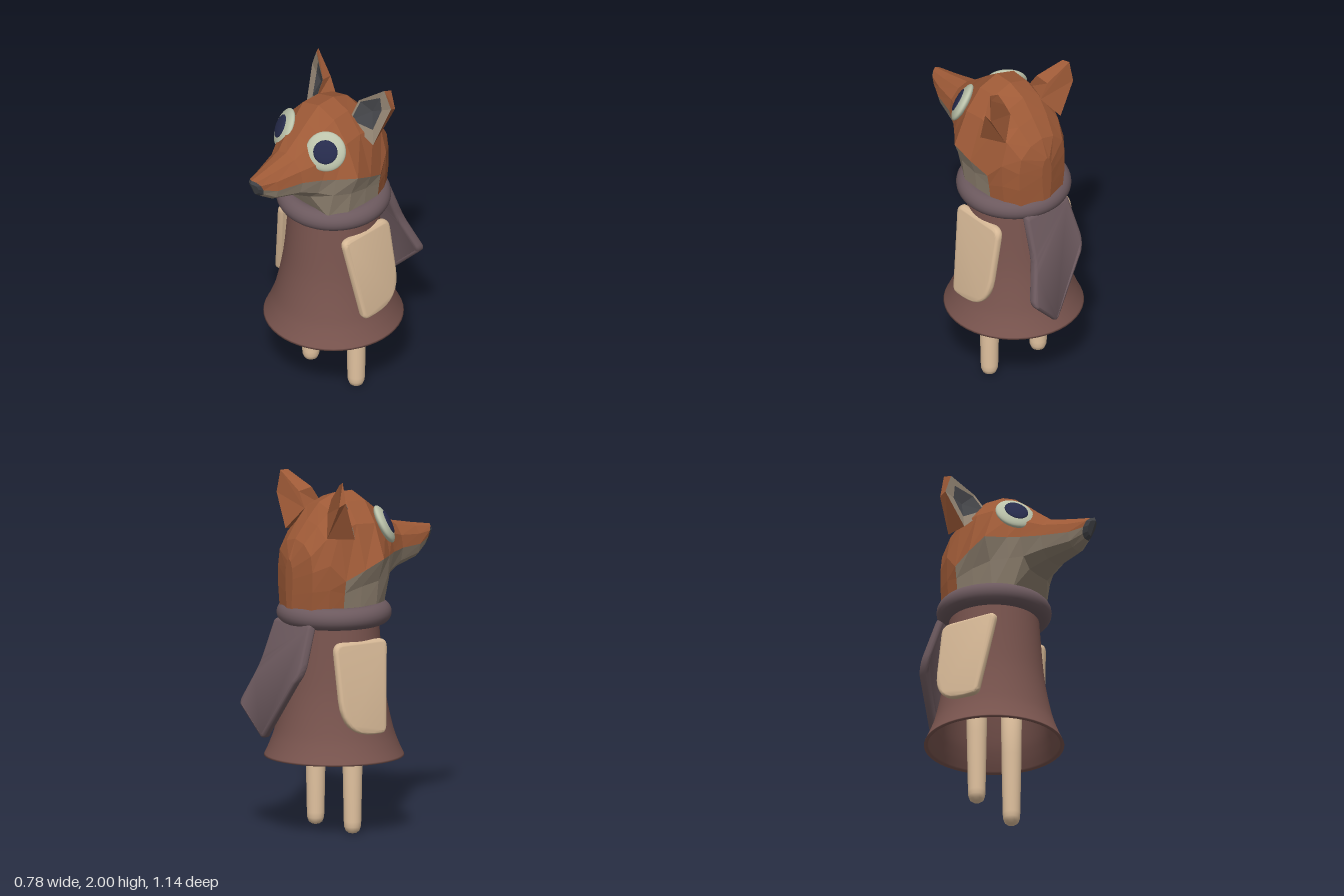
import * as THREE from 'three';
import { toCreasedNormals } from 'three/addons/utils/BufferGeometryUtils.js';

const COLORS = {
  fur: 0x9e5a37, muzzle: 0x8f8170, dark: 0x434448, eye: 0xbcc3ab, pupil: 0x262b4c,
  coat: 0x7a554f, scarf: 0x6c595e, arm: 0xd6b896, leg: 0xe2c3a0,
};
const V = (x, y, z) => new THREE.Vector3(x, y, z);
const AXIS_Z = -0.085; // centre line of the body

function mesh(name, geometry, color, flatShading = false, side = THREE.FrontSide) {
  const m = new THREE.Mesh(geometry, new THREE.MeshStandardMaterial({ color, flatShading, side }));
  m.name = name;
  return m;
}

// Flat-shaded mesh from a list of triangle corners
function facets(name, corners, color) {
  const g = new THREE.BufferGeometry().setFromPoints(corners);
  g.computeVertexNormals();
  return mesh(name, g, color, true);
}

// Soft-edged slab from a polygon of [x, y, corner radius]
function slab(points, depth, bevel) {
  const shape = new THREE.Shape();
  points.forEach(([x, y, r], i) => {
    const p = new THREE.Vector2(x, y);
    const toward = (q) => p.clone().add(new THREE.Vector2(q[0], q[1]).sub(p).setLength(r));
    const a = toward(points.at(i - 1)), b = toward(points[(i + 1) % points.length]);
    if (i) shape.lineTo(a.x, a.y); else shape.moveTo(a.x, a.y);
    shape.quadraticCurveTo(x, y, b.x, b.y);
  });
  shape.closePath();
  const g = new THREE.ExtrudeGeometry(shape, {
    depth, bevelSize: bevel, bevelThickness: bevel, bevelOffset: -bevel, bevelSegments: 4, curveSegments: 8,
  });
  return g.translate(0, 0, -depth / 2);
}

// Shift every vertex by a rule, then refresh the normals
function bend(g, rule) {
  const p = g.attributes.position, v = V(0, 0, 0);
  for (let i = 0; i < p.count; i++) {
    rule(v.fromBufferAttribute(p, i));
    p.setXYZ(i, v.x, v.y, v.z);
  }
  g.computeVertexNormals();
  return toCreasedNormals(g, 0.7);
}

// Head cross-sections from back to nose: z, top y, then brow, cheek, jaw and base [x, y]
const SECTIONS = [
  [-0.383, 1.55, 0.03, 1.50, 0.035, 1.44, 0.03, 1.35, 0.02, 1.25],
  [-0.34, 1.66, 0.15, 1.58, 0.165, 1.49, 0.165, 1.38, 0.15, 1.25],
  [-0.26, 1.76, 0.185, 1.67, 0.225, 1.53, 0.22, 1.39, 0.205, 1.25],
  [-0.18, 1.85, 0.205, 1.72, 0.262, 1.44, 0.25, 1.37, 0.235, 1.25],
  [-0.07, 1.895, 0.21, 1.745, 0.292, 1.495, 0.258, 1.40, 0.24, 1.25],
  [0.045, 1.895, 0.22, 1.74, 0.308, 1.55, 0.255, 1.42, 0.23, 1.25],
  [0.14, 1.825, 0.185, 1.69, 0.23, 1.55, 0.21, 1.43, 0.17, 1.26],
  [0.20, 1.775, 0.165, 1.66, 0.185, 1.555, 0.15, 1.45, 0.09, 1.395],
  [0.30, 1.70, 0.115, 1.63, 0.13, 1.56, 0.11, 1.485, 0.06, 1.445],
  [0.45, 1.67, 0.075, 1.615, 0.085, 1.56, 0.07, 1.51, 0.04, 1.485],
  [0.553, 1.65, 0.045, 1.62, 0.05, 1.585, 0.04, 1.55, 0.02, 1.53],
  [0.568, 1.63, 0.03, 1.62, 0.035, 1.595, 0.025, 1.565, 0.012, 1.55],
];

function buildSkull() {
  const last = SECTIONS.length - 1;
  const rings = SECTIONS.map(([z, top, bx, by, cx, cy, dx, dy, ex, ey], i) => {
    const half = [[0, top], [bx * 0.55, top + (by - top) * 0.25], [bx, by], [cx, cy], [dx, dy], [ex, ey], [0, ey - 0.005]];
    const other = half.slice(1, -1).reverse().map(([x, y]) => [-x, y]);
    // The nose pad slopes back towards the mouth and sides
    const lean = (x, y) => (i >= last - 1 ? 0.4 * (y - 1.6) - 0.4 * Math.abs(x) : 0);
    return [...half, ...other].map(([x, y]) => V(x, y, z + lean(x, y)));
  });
  const n = rings[0].length;
  const fur = [], muzzle = [], nose = [];
  for (let i = 0; i < last; i++) {
    for (let j = 0; j < n; j++) {
      const k = (j + 1) % n;
      const a = rings[i][j], b = rings[i][k], c = rings[i + 1][k], d = rings[i + 1][j];
      const lower = i >= 3 && j >= 3 && j < n - 3;
      (i === last - 1 ? nose : lower ? muzzle : fur).push(a, d, c, a, c, b);
    }
  }
  // Close the back of the skull and the nose tip
  for (let j = 1; j < n - 1; j++) {
    fur.push(rings[0][0], rings[0][j], rings[0][j + 1]);
    nose.push(rings[last][0], rings[last][j + 1], rings[last][j]);
  }
  return [
    facets('headFur', fur, COLORS.fur),
    facets('muzzleAndThroat', muzzle, COLORS.muzzle),
    facets('nose', nose, COLORS.dark),
  ];
}

// Cupped ear: pale outer rim, dark hollow on the inner side, furry back
function buildEar(s) {
  const rim = [
    V(0.13, 1.80, -0.06), V(0.14, 1.91, -0.13), V(0.265, 2.0, -0.205),
    V(0.308, 1.89, -0.215), V(0.262, 1.67, -0.12),
  ];
  const rimWidth = [0.1, 0.12, 0.35, 0.5, 0.45];
  const centre = rim.reduce((sum, p) => sum.add(p), V(0, 0, 0)).divideScalar(rim.length);
  const hollow = centre.clone().add(V(-0.02, -0.01, -0.03));
  const inner = rim.map((p, i) => p.clone().lerp(hollow, rimWidth[i]));
  // Outer shell leans back from the rim
  const back = [
    V(0.11, 1.80, -0.20), V(0.155, 1.89, -0.205), V(0.285, 1.995, -0.24),
    V(0.30, 1.87, -0.255), V(0.20, 1.68, -0.265),
  ];
  const parts = { edge: [], well: [], shell: [] };
  const tri = (list, a, b, c) =>
    list.push(...(s > 0 ? [a, c, b] : [a, b, c]).map((p) => V(p.x * s, p.y, p.z)));
  for (let i = 0; i < 5; i++) {
    const k = (i + 1) % 5;
    tri(parts.edge, rim[i], rim[k], inner[k]);
    tri(parts.edge, rim[i], inner[k], inner[i]);
    tri(parts.well, inner[i], inner[k], hollow);
    tri(parts.shell, rim[i], back[k], rim[k]);
    tri(parts.shell, rim[i], back[i], back[k]);
    if (i > 0 && i < 4) tri(parts.shell, back[0], back[k], back[i]);
  }
  const ear = new THREE.Group();
  ear.name = s > 0 ? 'leftEar' : 'rightEar';
  ear.add(facets('earRim', parts.edge, COLORS.muzzle), facets('earHollow', parts.well, COLORS.dark),
    facets('earBack', parts.shell, COLORS.fur));
  return ear;
}

// Flattened eyeball with a nearly flush pupil, facing outward and up
function buildEye(s) {
  const eye = new THREE.Group();
  eye.name = s > 0 ? 'leftEye' : 'rightEye';
  const white = mesh('eyeWhite', new THREE.SphereGeometry(1, 28, 18).scale(0.113, 0.113, 0.034), COLORS.eye);
  const pupil = mesh('pupil', new THREE.SphereGeometry(1, 24, 14).scale(0.068, 0.068, 0.013), COLORS.pupil);
  pupil.position.z = 0.027;
  eye.add(white, pupil);
  eye.position.set(0.161 * s, 1.715, 0.15);
  eye.lookAt(eye.position.clone().add(V(0.56 * s, 0.45, 0.7)));
  return eye;
}

export function createModel() {
  const model = new THREE.Group();
  model.name = 'foxFigure';

  const head = new THREE.Group();
  head.name = 'head';
  head.position.x = 0.012;
  head.add(...buildSkull());
  for (const s of [1, -1]) head.add(buildEar(s), buildEye(s));
  model.add(head);

  // Hollow flared coat: inner wall down, round the hem, outer wall up
  const wall = [[0.39, 0.42], [0.358, 0.49], [0.327, 0.58], [0.292, 0.74], [0.271, 0.9], [0.248, 1.2]];
  const outer = new THREE.SplineCurve(wall.map(([x, y]) => new THREE.Vector2(x, y))).getPoints(24);
  const inner = outer.slice(1).reverse().map((p) => new THREE.Vector2(p.x - 0.02, p.y));
  const coat = mesh('coat', new THREE.LatheGeometry([new THREE.Vector2(0, 1.2), ...inner,
    new THREE.Vector2(0.37, 0.42), ...outer], 48), COLORS.coat, false, THREE.DoubleSide);
  coat.position.z = AXIS_Z;
  model.add(coat);

  // Scarf ring and the tail hanging down the back, curling in at its tip
  const ring = mesh('scarfRing', new THREE.TorusGeometry(0.258, 0.062, 20, 56).rotateX(Math.PI / 2), COLORS.scarf);
  ring.position.set(0, 1.225, AXIS_Z);
  const tail = slab([[-0.16, 1.2, 0.02], [-0.195, 0.93, 0.06], [0.065, 0.535, 0.035], [0.25, 0.73, 0.035],
    [0.17, 0.95, 0.06], [0.155, 1.2, 0.02]], 0.02, 0.018);
  const tailGeometry = bend(tail, (v) => {
    const drop = 1.18 - v.y;
    v.z += -0.355 - 0.06 * v.x - 0.36 * Math.min(drop, 0.46) + 0.12 * Math.max(drop - 0.46, 0);
  });
  model.add(ring, mesh('scarfTail', tailGeometry, COLORS.scarf));

  // Flat arms sloping out along the coat, and peg legs
  const legProfile = [[0, 0], [0.022, 0.004], [0.038, 0.016], [0.047, 0.04], [0.049, 0.07], [0.056, 0.42], [0.058, 0.7], [0, 0.7]]
    .map(([x, y]) => new THREE.Vector2(x, y));
  for (const s of [1, -1]) {
    const side = s > 0 ? 'left' : 'right';
    const arm = slab([[0.095, 1.095, 0.05], [-0.262, 1.095, 0.06], [-0.262, 0.58, 0.2], [0.025, 0.58, 0.04]],
      0.012, 0.018).rotateY(-Math.PI / 2);
    const armGeometry = bend(arm, (v) => { v.x += s * (0.242 + 0.18 * (1.09 - v.y)); });
    model.add(mesh(side + 'Arm', armGeometry, COLORS.arm));

    const leg = mesh(side + 'Leg', new THREE.LatheGeometry(legProfile, 24), COLORS.leg);
    leg.position.set(0.177 * s, 0, AXIS_Z);
    model.add(leg);
  }
  return model;
}
